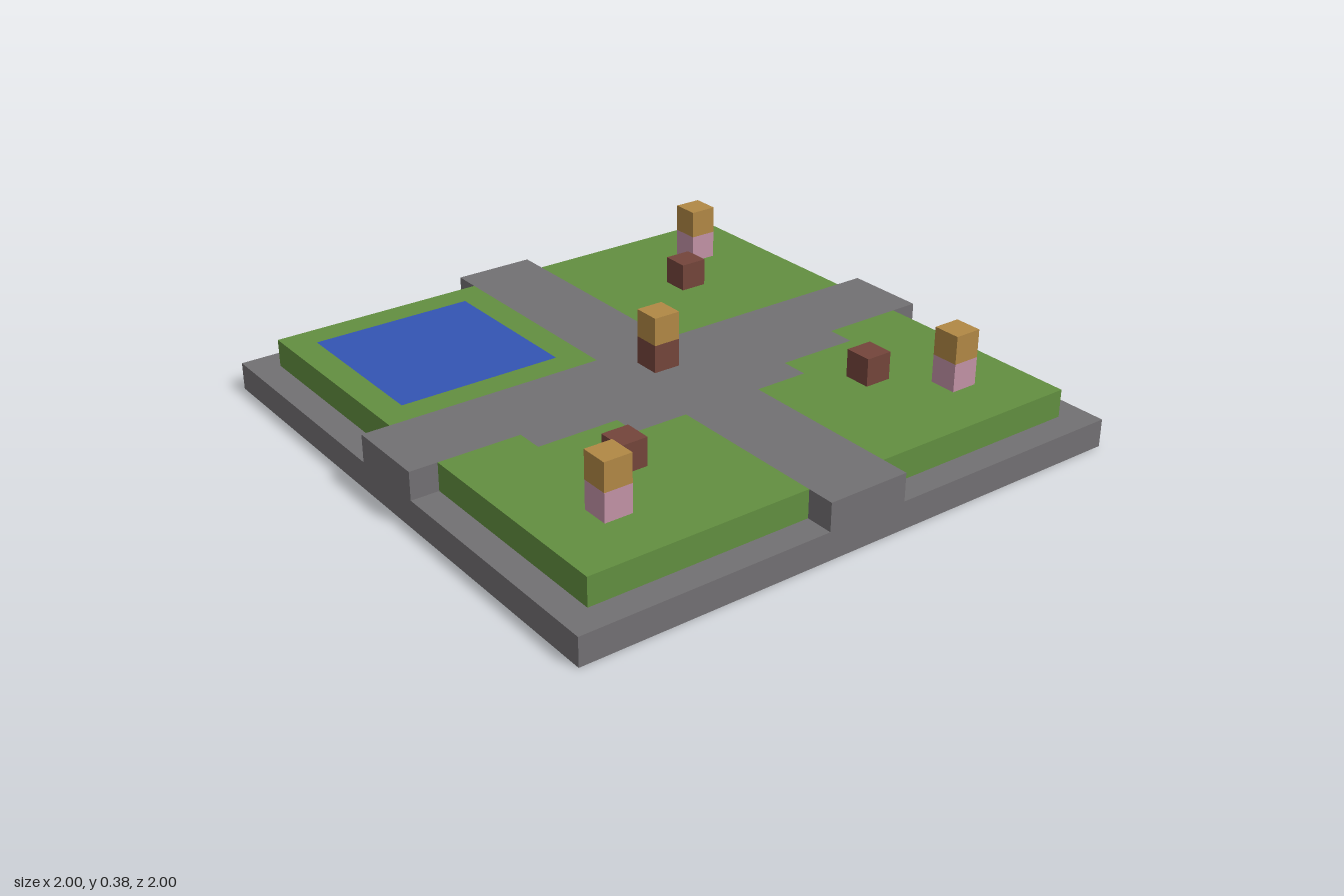
import * as THREE from 'three';

const U = 2 / 21; // one block: the plot is 21 blocks square

function material(name, color) {
  const m = new THREE.MeshStandardMaterial({ color });
  m.name = name;
  return m;
}

export function createModel() {
  const stone = material('stone grey', 0x727073);
  const grass = material('grass green', 0x628f40);
  const water = material('water blue', 0x3355b3);
  const gold = material('golden wood', 0xb18845);
  const brown = material('dark brown', 0x74453b);
  const pink = material('pink', 0xc292a6);

  const model = new THREE.Group();
  model.name = 'gardenPlot';

  function add(name, geometry, mat, parent = model) {
    const mesh = new THREE.Mesh(geometry, mat);
    mesh.name = name;
    parent.add(mesh);
    return mesh;
  }

  // Box in block units, standing on the given level
  function block(name, mat, x, level, z, w = 1, d = 1, parent = model) {
    const mesh = add(name, new THREE.BoxGeometry(w * U, U, d * U), mat, parent);
    mesh.position.set(x * U, (level + 0.5) * U, z * U);
  }

  // One-block-thick slab on the base, outlined by [x, z] points in block units
  const outline = (pts) => pts.map(([x, z]) => new THREE.Vector2(x * U, z * U));
  function slab(name, mat, pts, hole) {
    const shape = new THREE.Shape(outline(pts));
    if (hole) shape.holes.push(new THREE.Path(outline(hole)));
    const geometry = new THREE.ExtrudeGeometry(shape, { depth: U, bevelEnabled: false });
    geometry.rotateX(Math.PI / 2).translate(0, 2 * U, 0);
    add(name, geometry, mat);
  }

  // Base
  block('base', stone, 0, 0, 0, 21, 21);

  // Crossing paths, widened in steps on the +x side
  const steps = [[1.5, 6.5], [2.5, 6.5], [2.5, 3.5], [3.5, 3.5], [3.5, 1.5]];
  const mirrorZ = (pts) => pts.map(([x, z]) => [x, -z]).reverse();
  slab('crossPath', stone, [
    [-1.5, 10.5], [1.5, 10.5], ...steps, [10.5, 1.5],
    [10.5, -1.5], ...mirrorZ(steps), [1.5, -10.5],
    [-1.5, -10.5], [-1.5, -1.5], [-10.5, -1.5],
    [-10.5, 1.5], [-1.5, 1.5],
  ]);

  // Lawns
  const square = (x0, z0, x1, z1) => [[x0, z0], [x1, z0], [x1, z1], [x0, z1]];
  const steppedLawn = [[1.5, 9.5], ...steps, [9.5, 1.5], [9.5, 9.5]];
  const pondEdge = square(-8.5, 2.5, -2.5, 8.5);
  slab('frontLeftLawn', grass, steppedLawn);
  slab('backLeftLawn', grass, mirrorZ(steppedLawn));
  slab('backRightLawn', grass, square(-9.5, -9.5, -1.5, -1.5));
  slab('pondLawn', grass, square(-9.5, 1.5, -1.5, 9.5), pondEdge);

  // Pond, level with its lawn
  slab('pond', water, pondEdge);

  // Two-block posts
  function post(name, x, z, lower) {
    const group = new THREE.Group();
    group.name = name;
    model.add(group);
    block('postBase', lower, x, 2, z, 1, 1, group);
    block('postTop', gold, x, 3, z, 1, 1, group);
  }
  post('centrePost', 0, 0, brown);

  // A post and a low block on each lawn without a pond
  for (const [sx, sz] of [[1, 1], [1, -1], [-1, -1]]) {
    post('lawnPost', 7 * sx, 7 * sz, pink);
    block('lowBlock', brown, 5 * sx, 2, 5 * sz);
  }

  return model;
}
